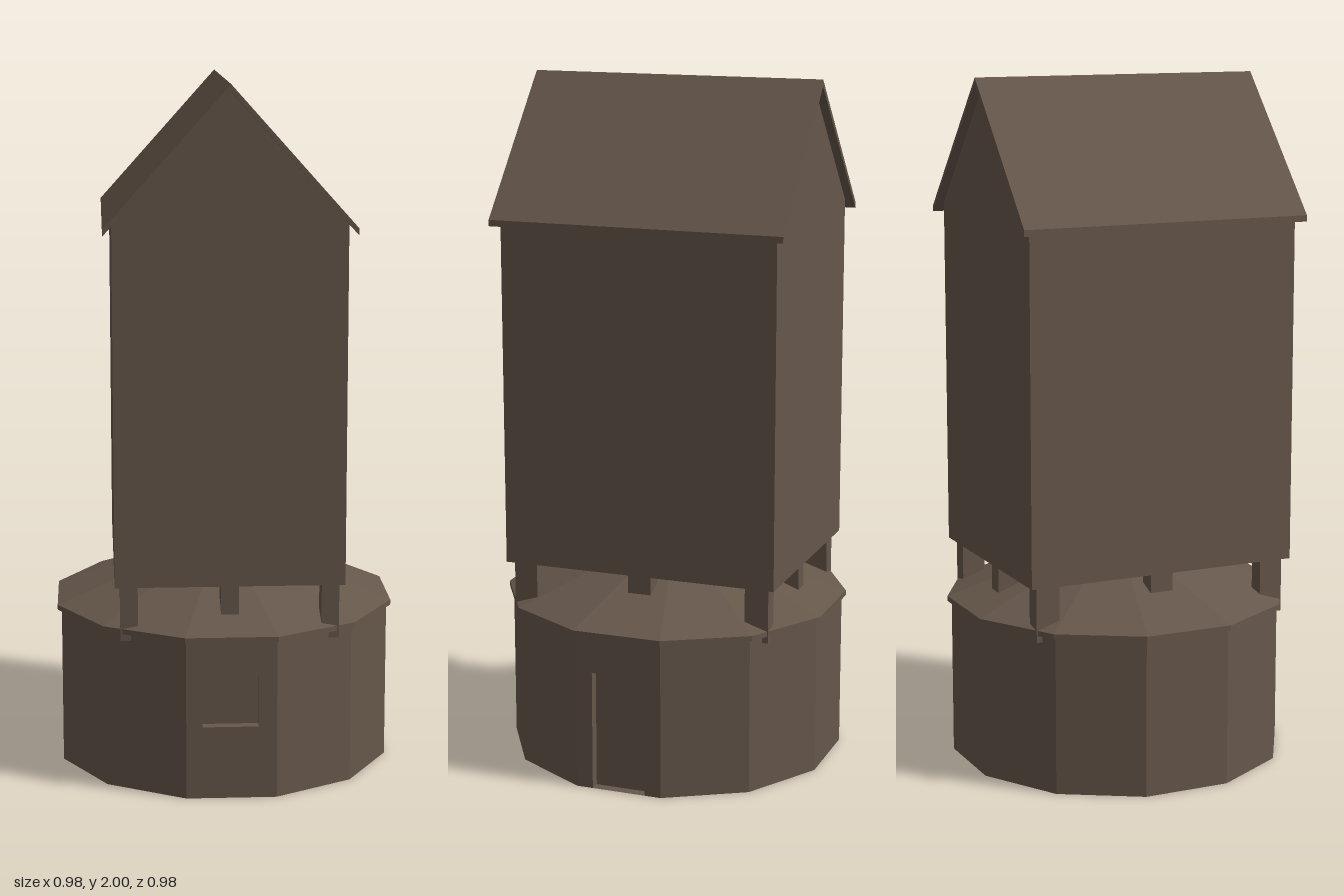
import * as THREE from 'three';

const wood = new THREE.MeshStandardMaterial({ color: 0x66574b, flatShading: true, side: THREE.DoubleSide });
wood.name = 'brown wood';

function add(parent, name, geometry, x = 0, y = 0, z = 0) {
  const mesh = new THREE.Mesh(geometry, wood);
  mesh.name = name;
  mesh.position.set(x, y, z);
  parent.add(mesh);
  return mesh;
}

const shapeOf = (points) => new THREE.Shape(points.map(([x, y]) => new THREE.Vector2(x, y)));

// Extrusion centred on z = 0
function prism(points, depth) {
  const g = new THREE.ExtrudeGeometry(shapeOf(points), { depth, bevelEnabled: false });
  return g.translate(0, 0, -depth / 2);
}

// Box without its front face, used as a sunken opening
function recess(w, h, d) {
  const g = new THREE.BoxGeometry(w, h, d);
  const index = Array.from(g.index.array);
  index.splice(24, 6);
  g.setIndex(index);
  g.clearGroups();
  return g;
}

export function createModel() {
  const model = new THREE.Group();
  model.name = 'tower';

  // Twelve-sided drum, with a window in the front panel and a door in the +x panel
  const SIDES = 12, apothem = 0.478, wallTop = 0.465, depth = 0.03;
  const half = apothem * Math.tan(Math.PI / SIDES);
  const drum = new THREE.Group();
  drum.name = 'drum';
  model.add(drum);
  for (let i = 0; i < SIDES; i++) {
    const side = new THREE.Group();
    side.name = 'drumSide';
    side.rotation.y = (i * 2 * Math.PI) / SIDES;
    drum.add(side);
    const isDoor = i === 3, isWindow = i === 0;
    const notch = isDoor ? [[-0.08, 0], [-0.08, 0.35], [0.08, 0.35], [0.08, 0]] : [];
    const wall = shapeOf([[-half, 0], ...notch, [half, 0], [half, wallTop], [-half, wallTop]]);
    if (isWindow) {
      wall.holes.push(shapeOf([[-0.083, 0.21], [-0.083, 0.36], [0.077, 0.36], [0.077, 0.21]]));
      add(side, 'window', recess(0.16, 0.15, depth), -0.003, 0.285, apothem - depth / 2);
    }
    if (isDoor) add(side, 'door', recess(0.16, 0.35, depth), 0, 0.175, apothem - depth / 2);
    add(side, 'drumWall', new THREE.ShapeGeometry(wall), 0, 0, apothem);
  }

  // Shallow pyramid roof over the drum
  const r = 0.49 / Math.cos(Math.PI / SIDES);
  const profile = [[0.001, 0.645], [r, 0.46], [r, 0.475], [0.001, 0.66]].map(([x, y]) => new THREE.Vector2(x, y));
  // The tip stays tucked under the floor of the house
  profile[0].set(0.17, 0.583);
  profile[3].set(0.17, 0.598);
  profile.push(new THREE.Vector2(0.001, 0.598));
  add(model, 'drumRoof', new THREE.LatheGeometry(profile, SIDES, Math.PI / SIDES));

  // Short posts carrying the house
  for (const x of [-0.285, 0, 0.285]) {
    for (const z of [-0.355, 0, 0.355]) {
      if (x === 0 && z === 0) continue;
      add(model, 'post', new THREE.BoxGeometry(0.05, 0.16, 0.07), x, 0.52, z);
    }
  }

  // Tall house with gabled ends
  add(model, 'house', prism([[-0.325, 0.6], [0.325, 0.6], [0.325, 1.62], [0, 1.98], [-0.325, 1.62]], 0.82));

  // Thin gable roof
  add(model, 'gableRoof', prism(
    [[-0.35, 1.592], [0, 1.981], [0.35, 1.592], [0.35, 1.61], [0, 2], [-0.35, 1.61]], 0.87));

  return model;
}
